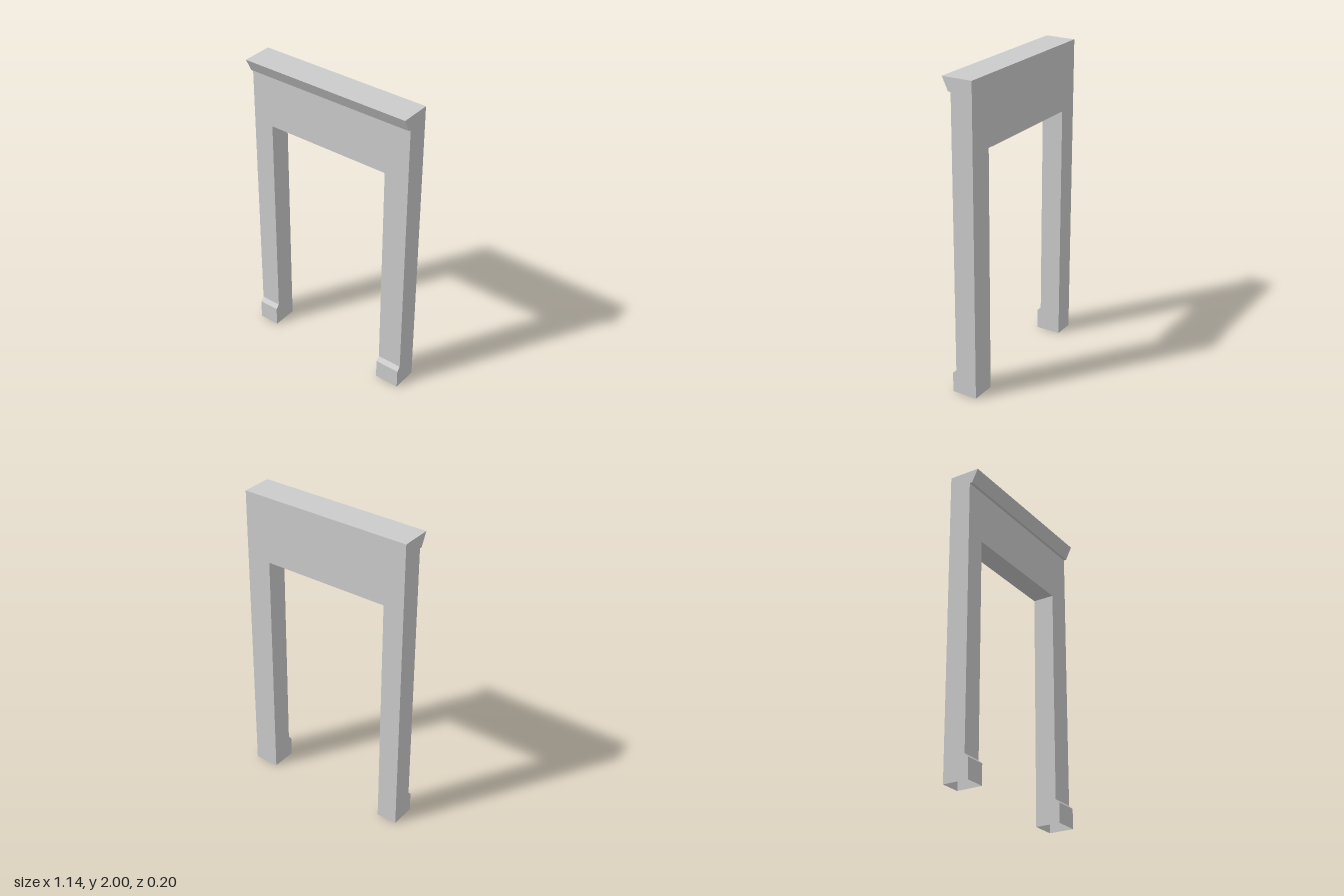
import * as THREE from 'three';

const BACK = -0.1, FACE = 0.042, OPENING = 1.567, HALF = 0.571;
const LEG_L = 0.407, LEG_R = -0.434; // inner faces of the two legs

const material = new THREE.MeshStandardMaterial({
  color: 0xcccccc, flatShading: true, side: THREE.DoubleSide,
});

// Sweeps a [z, y] side profile from x0 to x1, leaving it open at the given heights
function sweep(name, profile, x0, x1, openAt) {
  const shape = new THREE.Shape(profile.map(([z, y]) => new THREE.Vector2(z, y)));
  const solid = new THREE.ExtrudeGeometry(shape, { depth: x1 - x0, bevelEnabled: false });
  solid.rotateY(-Math.PI / 2).translate(x1, 0, 0);
  const p = solid.attributes.position, kept = [];
  for (let i = 0; i < p.count; i += 3) {
    const open = openAt.some((h) => [0, 1, 2].every((k) => Math.abs(p.getY(i + k) - h) < 1e-4));
    if (open) continue;
    for (let k = 0; k < 3; k++) kept.push(p.getX(i + k), p.getY(i + k), p.getZ(i + k));
  }
  const geometry = new THREE.BufferGeometry();
  geometry.setAttribute('position', new THREE.Float32BufferAttribute(kept, 3));
  geometry.computeVertexNormals();
  const mesh = new THREE.Mesh(geometry, material);
  mesh.name = name;
  return mesh;
}

export function createModel() {
  const group = new THREE.Group();
  group.name = 'doorSurround';

  // Hollow legs with a chamfered plinth block, open underneath
  const leg = [[BACK, 0], [0.067, 0], [0.067, 0.13], [FACE, 0.155], [FACE, OPENING], [BACK, OPENING]];
  group.add(sweep('leftLeg', leg, LEG_L, HALF, [0, OPENING]));
  group.add(sweep('rightLeg', leg, -HALF, LEG_R, [0, OPENING]));

  // Header with a sloping cornice along the top
  const header = [[BACK, OPENING], [FACE, OPENING], [FACE, 1.916], [0.059, 1.916], [0.1, 2], [BACK, 2]];
  group.add(sweep('header', header, -HALF, HALF, [OPENING]));

  // Underside of the header between the legs
  const soffit = new THREE.Mesh(new THREE.PlaneGeometry(LEG_L - LEG_R, FACE - BACK), material);
  soffit.name = 'soffit';
  soffit.rotation.x = Math.PI / 2;
  soffit.position.set((LEG_L + LEG_R) / 2, OPENING, (FACE + BACK) / 2);
  group.add(soffit);

  return group;
}
